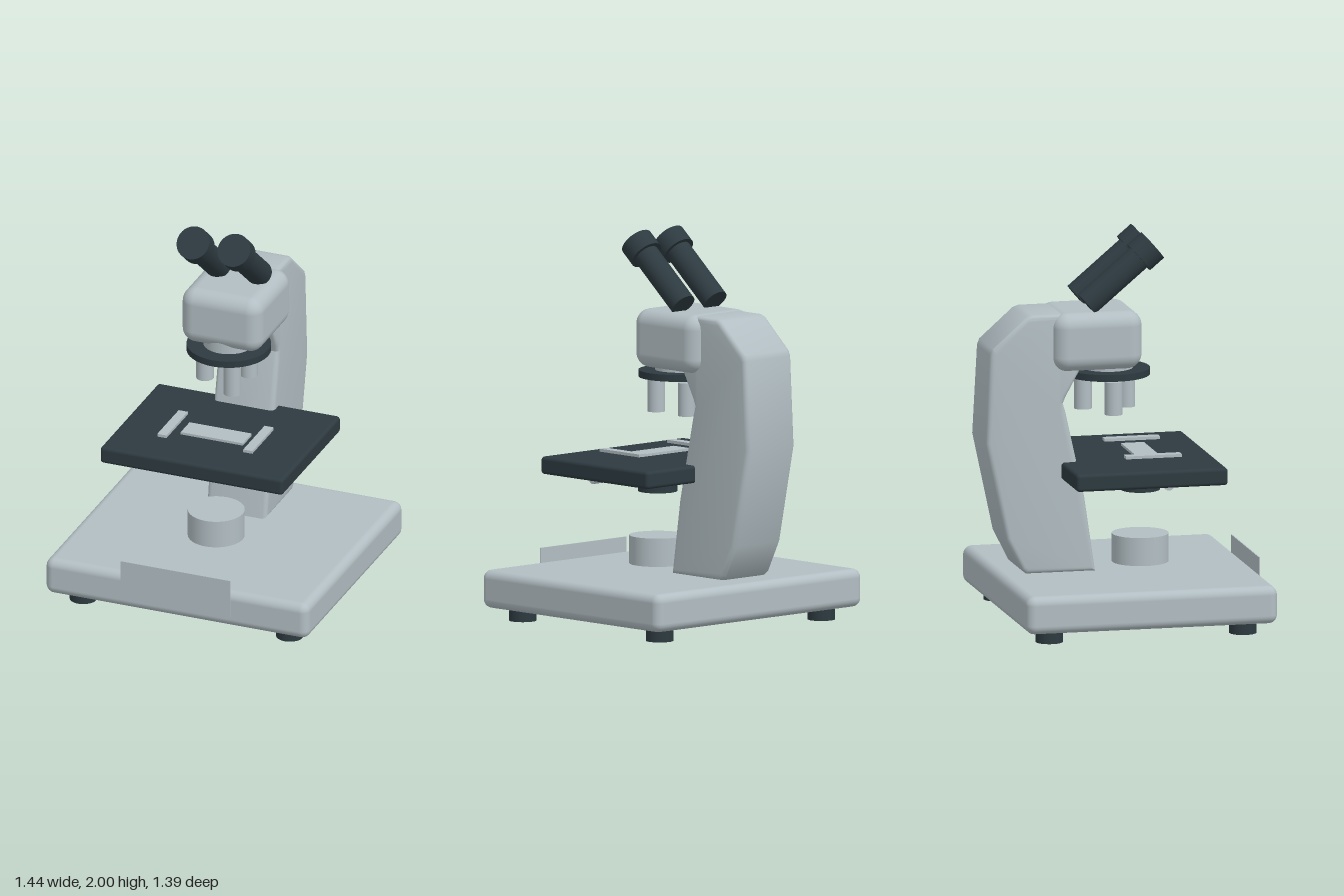
import * as THREE from 'three';
import { toCreasedNormals } from 'three/addons/utils/BufferGeometryUtils.js';
import { RoundedBoxGeometry } from 'three/addons/geometries/RoundedBoxGeometry.js';

export function createModel() {
  const model = new THREE.Group();
  model.name = 'microscope';
  const lightGrey = new THREE.MeshStandardMaterial({ color: 0xb2bec3 });
  lightGrey.name = 'light grey';
  const darkSlate = new THREE.MeshStandardMaterial({ color: 0x2d3a40 });
  darkSlate.name = 'dark slate';

  function add(name, geometry, material, x = 0, y = 0, z = 0, parent = model) {
    const mesh = new THREE.Mesh(geometry, material);
    mesh.name = name;
    mesh.position.set(x, y, z);
    parent.add(mesh);
    return mesh;
  }
  // Upright cylinder between two heights
  const post = (name, r, y0, y1, material, x, z, parent) =>
    add(name, new THREE.CylinderGeometry(r, r, y1 - y0, 40), material, x, (y0 + y1) / 2, z, parent);
  // Box given by its limits, rounded when r > 0
  function block(name, [x0, x1], [y0, y1], [z0, z1], r, material) {
    const size = [x1 - x0, y1 - y0, z1 - z0];
    const geometry = r ? new RoundedBoxGeometry(...size, 5, r) : new THREE.BoxGeometry(...size);
    return add(name, geometry, material, (x0 + x1) / 2, (y0 + y1) / 2, (z0 + z1) / 2);
  }

  // Base, feet and front plate
  block('base', [-0.72, 0.72], [0.065, 0.26], [-0.62, 0.69], 0.045, lightGrey);
  for (const x of [-0.565, 0.565])
    for (const z of [-0.47, 0.54]) post('foot', 0.07, 0, 0.067, darkSlate, x, z);
  block('frontPlate', [-0.3, 0.3], [0.125, 0.33], [0.687, 0.693], 0, lightGrey);

  // Curved arm: side profile as (z, y), extruded across x
  const profile = [
    [-0.13, 0.27], [-0.186, 0.654], [-0.285, 1.1], [-0.298, 1.143], [-0.285, 1.175],
    [-0.2, 1.33], [-0.3, 1.605], [-0.46, 1.605], [-0.49, 1.595], [-0.665, 1.44],
    [-0.677, 1.41], [-0.702, 0.952], [-0.596, 0.452], [-0.515, 0.29], [-0.49, 0.27],
  ];
  const armShape = new THREE.Shape(profile.map(([z, y]) => new THREE.Vector2(z, y)));
  const bevel = 0.025;
  const armGeometry = new THREE.ExtrudeGeometry(armShape, {
    depth: 0.33 - 2 * bevel, bevelEnabled: true, bevelThickness: bevel,
    bevelSize: bevel, bevelOffset: -bevel, bevelSegments: 4,
  });
  armGeometry.translate(0, 0, -(0.33 / 2 - bevel)).rotateY(-Math.PI / 2);
  add('arm', toCreasedNormals(armGeometry, 0.55), lightGrey);

  // Lamp, condenser and stage
  post('lamp', 0.145, 0.28, 0.425, lightGrey, 0, 0.14);
  post('condenser', 0.1, 0.65, 0.76, darkSlate, 0, 0.14);
  block('stage', [-0.5, 0.5], [0.75, 0.84], [-0.31, 0.48], 0.018, darkSlate);
  const rod = add('stageRod', new THREE.CylinderGeometry(0.025, 0.025, 0.81, 24), lightGrey, 0, 0.743, 0.195);
  rod.rotation.z = Math.PI / 2;

  // Glass slide and its two clips
  block('slide', [-0.17, 0.17], [0.845, 0.858], [0.08, 0.2], 0, lightGrey);
  for (const s of [-1, 1]) {
    const clip = block('stageClip', [-0.025, 0.025], [0.86, 0.875], [0.005, 0.295], 0, lightGrey);
    clip.position.x = 0.235 * s;
  }

  // Head, neck and turret with three objectives
  block('head', [-0.22, 0.22], [1.31, 1.61], [-0.355, 0.11], 0.075, lightGrey);
  post('neck', 0.13, 1.28, 1.36, lightGrey, 0, -0.03);
  post('turret', 0.215, 1.255, 1.29, darkSlate, 0, -0.03);
  for (let i = 0; i < 3; i++) {
    const a = Math.PI / 3 + (i * Math.PI * 2) / 3;
    post('objective', 0.045, 1.07, 1.24, lightGrey, 0.13 * Math.cos(a), -0.03 + 0.13 * Math.sin(a));
  }

  // Pair of eyepieces leaning towards the viewer, origin at the cap face
  for (const s of [-1, 1]) {
    const eyepiece = new THREE.Group();
    eyepiece.name = s > 0 ? 'leftEyepiece' : 'rightEyepiece';
    post('eyepieceTube', 0.066, -0.45, -0.05, darkSlate, 0, 0, eyepiece);
    post('eyepieceCap', 0.087, -0.095, 0, darkSlate, 0, 0, eyepiece);
    eyepiece.position.set(0.112 * s, 1.933, 0.178);
    eyepiece.rotation.x = THREE.MathUtils.degToRad(50);
    model.add(eyepiece);
  }
  return model;
}
